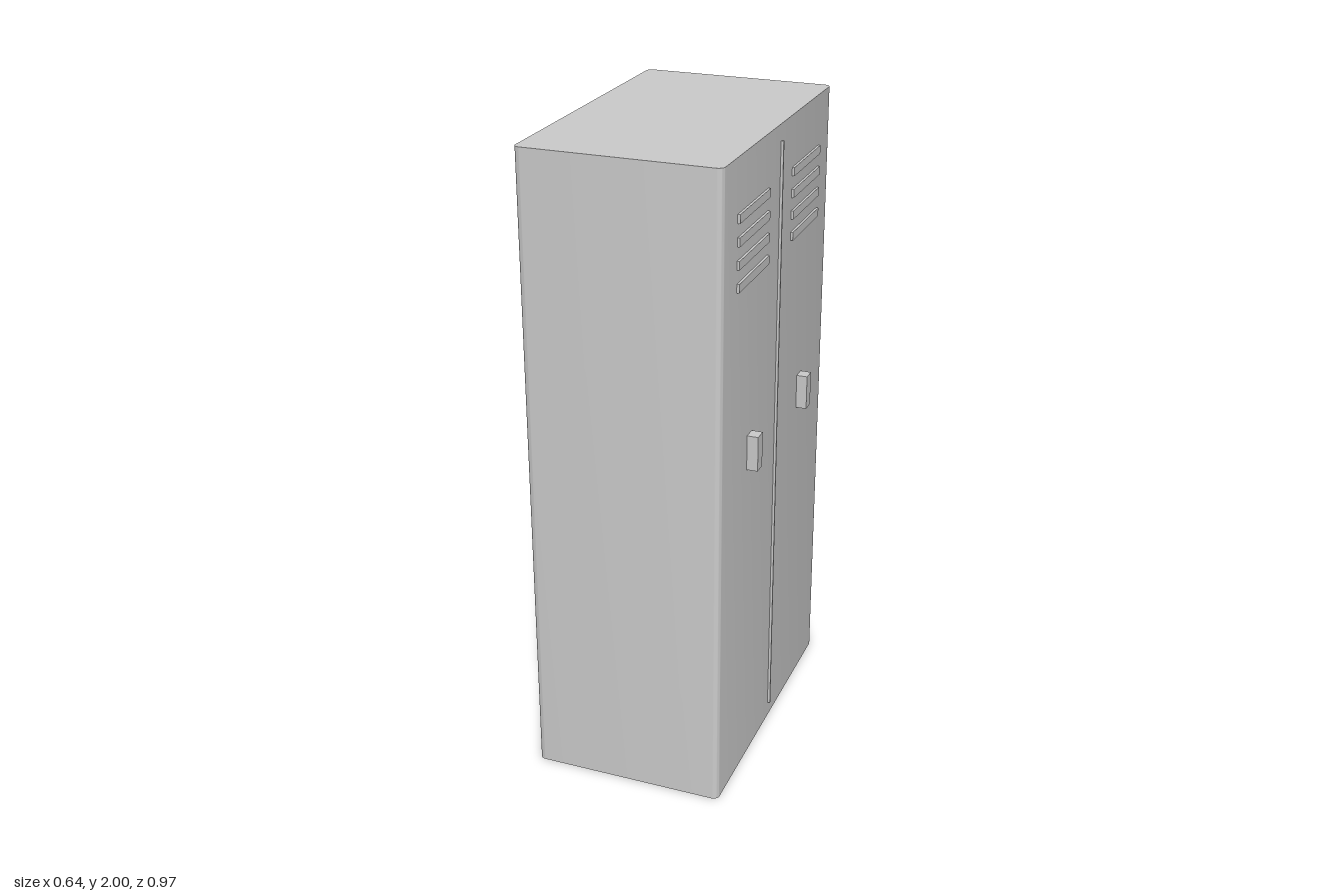
import * as THREE from 'three';
import { toCreasedNormals } from 'three/addons/utils/BufferGeometryUtils.js';

const FACE = 0.285; // x of the door face

export function createModel() {
  const model = new THREE.Group();
  model.name = 'locker';
  const material = new THREE.MeshStandardMaterial({ color: 0xcccccc });

  const add = (name, geometry, x, y, z) => {
    const mesh = new THREE.Mesh(geometry, material);
    mesh.name = name;
    mesh.position.set(x, y, z);
    model.add(mesh);
  };

  // Cabinet: rounded rectangle plan, extruded upwards
  const x0 = -0.319, x1 = FACE, d = 0.486, r = 0.02;
  const plan = new THREE.Shape();
  plan.absarc(x1 - r, d - r, r, 0, Math.PI / 2);
  plan.absarc(x0 + r, d - r, r, Math.PI / 2, Math.PI);
  plan.absarc(x0 + r, -d + r, r, Math.PI, Math.PI * 1.5);
  plan.absarc(x1 - r, -d + r, r, Math.PI * 1.5, Math.PI * 2);
  const body = new THREE.ExtrudeGeometry(plan, { depth: 2, bevelEnabled: false, curveSegments: 6 });
  body.rotateX(-Math.PI / 2);
  add('cabinet', toCreasedNormals(body, Math.PI / 5), 0, 0, 0);

  // Strip between the two doors
  add('doorSeam', new THREE.BoxGeometry(0.016, 1.9, 0.006), FACE, 1, 0);

  // Each door has a handle and four louvres
  const louvre = new THREE.BoxGeometry(0.015, 0.026, 0.258);
  const handle = new THREE.BoxGeometry(0.034, 0.11, 0.041);
  for (const [side, s] of [['left', -1], ['right', 1]]) {
    add(side + 'Handle', handle, 0.302, 1.085, s * 0.238);
    for (let i = 0; i < 4; i++) {
      add(side + 'Louvre' + (i + 1), louvre, FACE, 1.83 - i * 0.066, s * 0.239);
    }
  }
  return model;
}
